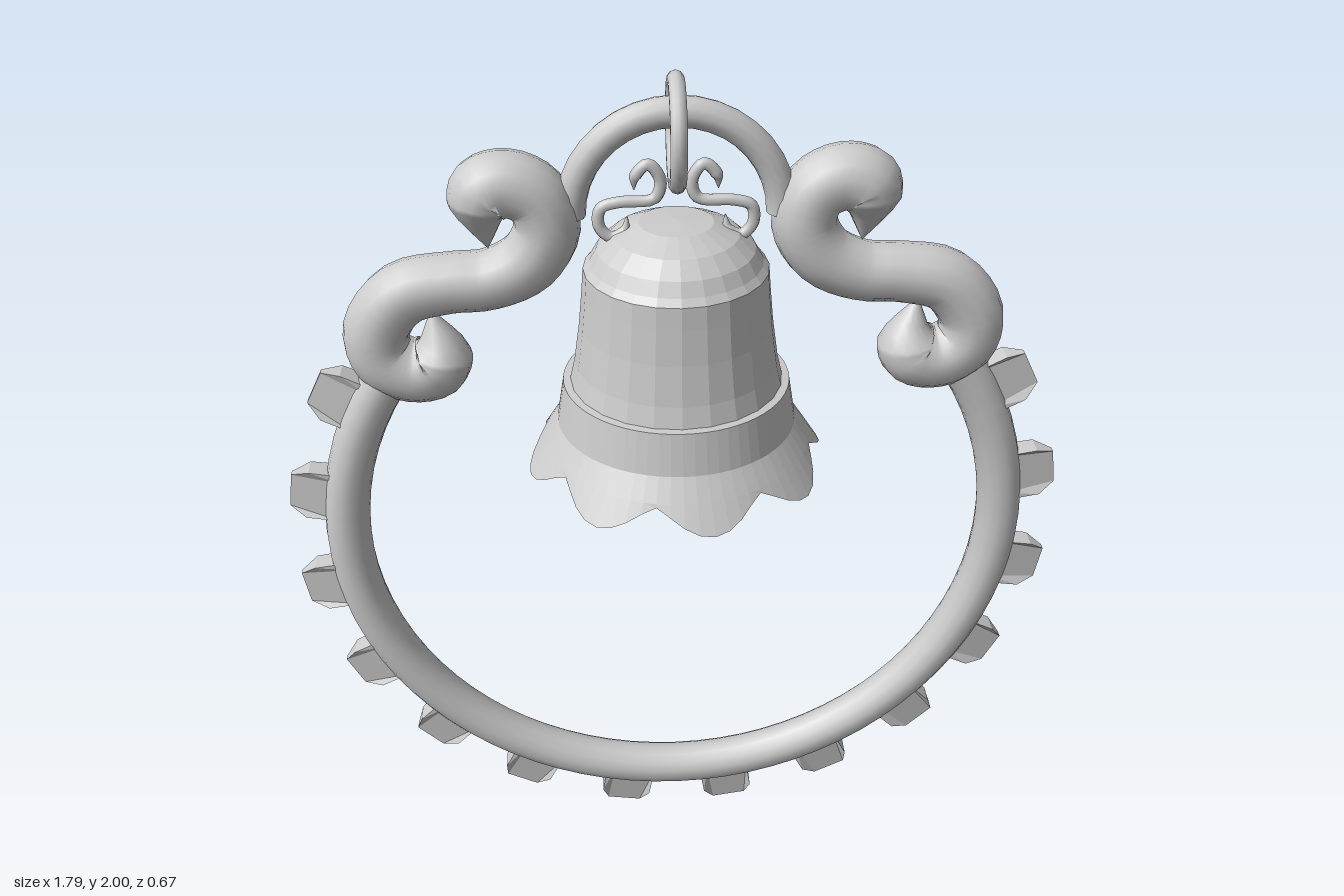
import * as THREE from 'three';

const smooth = new THREE.MeshStandardMaterial({ color: 0xcccccc });
const faceted = new THREE.MeshStandardMaterial({ color: 0xcccccc, flatShading: true });
const sheet = new THREE.MeshStandardMaterial({ color: 0xcccccc, flatShading: true, side: THREE.DoubleSide });

const RING_Y = 0.9, RING_R = 0.771;

// Skin over a list of equal-sized vertex rings
function loft(rings) {
  const n = rings[0].length, index = [];
  for (let i = 0; i < rings.length - 1; i++) {
    for (let j = 0; j < n; j++) {
      const a = i * n + j, b = i * n + (j + 1) % n;
      index.push(a, b, a + n, b, b + n, a + n);
    }
  }
  const geo = new THREE.BufferGeometry();
  geo.setAttribute('position', new THREE.Float32BufferAttribute(rings.flat(2), 3));
  geo.setIndex(index);
  geo.computeVertexNormals();
  return geo;
}

// Tube of varying radius through [x, y, radius] points in the plane z = 0
function sweep(points, side, steps, sides) {
  const curve = new THREE.CatmullRomCurve3(points.map(p => new THREE.Vector3(p[0] * side, p[1], 0)));
  const rings = [];
  for (let i = 0; i <= steps; i++) {
    const t = i / steps, c = curve.getPoint(t), d = curve.getTangent(t);
    const f = t * (points.length - 1), k = Math.min(Math.floor(f), points.length - 2);
    const r = THREE.MathUtils.lerp(points[k][2], points[k + 1][2], f - k);
    const ring = [];
    for (let j = 0; j < sides; j++) {
      const a = j / sides * Math.PI * 2, u = r * Math.cos(a);
      ring.push([c.x - d.y * u, c.y + d.x * u, r * Math.sin(a)]);
    }
    rings.push(ring);
  }
  return loft(rings);
}

// Wedge tooth: thick at both ends, pinched to a thin outer edge in the middle
function toothGeometry() {
  const stations = [[-0.062, 0.86, 0.025], [-0.042, 0.9, 0.008], [0.042, 0.9, 0.008], [0.062, 0.86, 0.025]];
  const rings = stations.map(([x, y, z]) => [[x, y, z], [x, 0.78, 0.027], [x, 0.78, -0.027], [x, y, -z]]);
  const cap = x => Array.from({ length: 4 }, () => [x, 0.82, 0]);
  return loft([cap(-0.062), ...rings, cap(0.062)]);
}

function lathe(profile, segments) {
  return new THREE.LatheGeometry(profile.map(p => new THREE.Vector2(p[0], p[1])), segments);
}

// Flared skirt whose lower edge is cut into eight lobes
function skirtGeometry() {
  const geo = lathe([[0.335, 1.105], [0.3, 1.165], [0.268, 1.215], [0.252, 1.312], [0.228, 1.314]], 64);
  const pos = geo.attributes.position;
  for (let i = 0; i < pos.count; i++) {
    if (pos.getY(i) > 1.12) continue;
    const a = Math.atan2(-pos.getZ(i), pos.getX(i));
    const lobe = Math.pow(Math.max(0, 0.5 + 0.5 * Math.cos(8 * (a - 0.19))), 0.65);
    const r = 0.303 + 0.037 * lobe;
    pos.setXYZ(i, r * Math.cos(a), 1.158 - 0.056 * lobe, -r * Math.sin(a));
  }
  return geo;
}

export function createModel() {
  const model = new THREE.Group();
  const add = (name, geo, mat, parent = model) => {
    const mesh = new THREE.Mesh(geo, mat);
    mesh.name = name;
    parent.add(mesh);
    return mesh;
  };

  // Large open hoop and the small arch that closes its top
  const hoop = add('hoop', new THREE.TorusGeometry(RING_R, 0.052, 14, 56, 256 * Math.PI / 180), smooth);
  hoop.position.y = RING_Y;
  hoop.rotation.z = 142 * Math.PI / 180;
  const arch = add('topArch', new THREE.TorusGeometry(0.222, 0.033, 12, 18, Math.PI), smooth);
  arch.position.y = 1.7;

  // Teeth around the outside of the hoop
  const teeth = new THREE.Group();
  teeth.name = 'teeth';
  model.add(teeth);
  const tooth = toothGeometry();
  for (let i = 0; i < 14; i++) {
    const mesh = add('tooth', tooth, faceted, teeth);
    mesh.position.y = RING_Y;
    mesh.rotation.z = Math.PI + (i - 6.5) * Math.PI / 10;
  }

  // S-shaped scrolls with pointed heads, and the small wire scrolls of the bell
  const scroll = [
    [0.397, 1.632, 0.001], [0.405, 1.73, 0.07], [0.396, 1.762, 0.074], [0.348, 1.775, 0.071],
    [0.29, 1.745, 0.07], [0.271, 1.675, 0.071], [0.312, 1.602, 0.07], [0.397, 1.56, 0.066],
    [0.487, 1.553, 0.066], [0.587, 1.53, 0.07], [0.65, 1.447, 0.072], [0.64, 1.378, 0.072],
    [0.585, 1.344, 0.072], [0.53, 1.355, 0.074], [0.516, 1.388, 0.07], [0.529, 1.49, 0.001]];
  const wire = [
    [0.088, 1.755, 0.001], [0.085, 1.785, 0.013], [0.058, 1.81, 0.013], [0.033, 1.775, 0.013],
    [0.045, 1.735, 0.013], [0.12, 1.728, 0.013], [0.158, 1.715, 0.013], [0.162, 1.675, 0.013],
    [0.138, 1.65, 0.013], [0.11, 1.662, 0.013], [0.103, 1.697, 0.001]];
  for (const [side, label] of [[1, 'left'], [-1, 'right']]) {
    add(label + 'Scroll', sweep(scroll, side, 60, 14), smooth);
    add(label + 'WireScroll', sweep(wire, side, 50, 8), smooth);
  }

  // Hanging ring threaded over the arch
  const link = add('hangingRing', new THREE.TorusGeometry(0.106, 0.018, 10, 28), smooth);
  link.position.y = 1.877;
  link.rotation.y = Math.PI / 2;

  // Bell: crown, waist and scalloped skirt
  const bell = new THREE.Group();
  bell.name = 'bell';
  model.add(bell);
  add('bellCrown', lathe([[0.2, 1.58], [0.187, 1.595], [0.17, 1.625], [0.135, 1.657], [0.08, 1.682], [0, 1.687]], 24), sheet, bell);
  add('bellWaist', lathe([[0.238, 1.305], [0.225, 1.36], [0.212, 1.45], [0.204, 1.53], [0.2, 1.58]], 24), sheet, bell);
  add('bellSkirt', skirtGeometry(), sheet, bell);

  return model;
}
